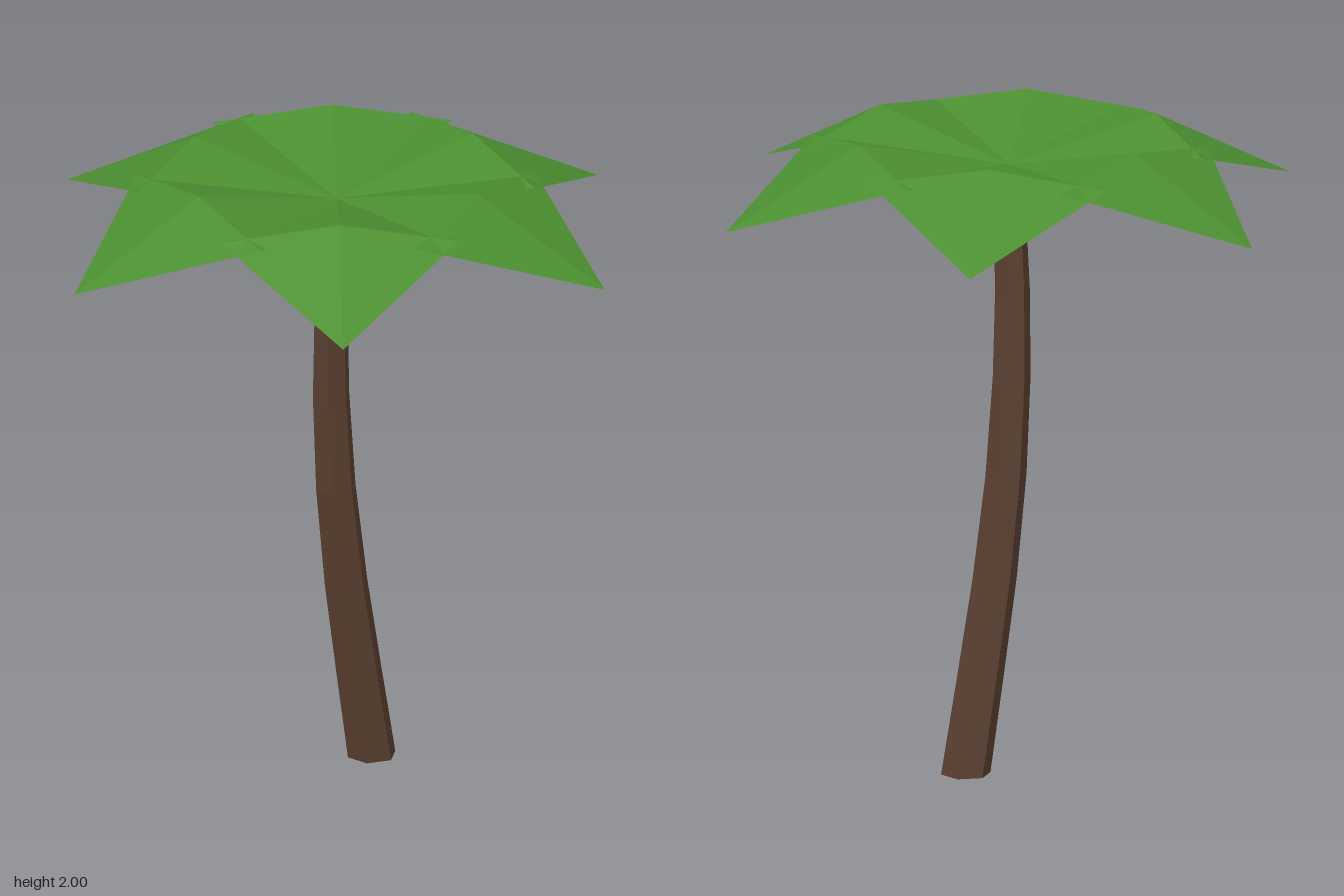
import * as THREE from 'three';

const leafGreen = new THREE.MeshStandardMaterial({ color: 0x4b8f30, flatShading: true });
leafGreen.name = 'leaf green';
const barkBrown = new THREE.MeshStandardMaterial({ color: 0x5a3f30, flatShading: true });
barkBrown.name = 'bark brown';

// Ring centres and radii up the trunk: [y, x, z, radius]
const RINGS = [
  [0, 0.178, -0.035, 0.077],
  [0.3, 0.125, -0.036, 0.073],
  [0.6, 0.073, -0.036, 0.069],
  [0.92, 0.03, -0.034, 0.064],
  [1.23, 0.005, -0.028, 0.059],
  [1.5, -0.005, -0.017, 0.054],
  [1.87, -0.002, 0.002, 0.049],
];

// Six-sided trunk, bent and tapered ring by ring
function createTrunk() {
  const segments = RINGS.length - 1;
  const geometry = new THREE.CylinderGeometry(1, 1, segments, 6, segments, false, THREE.MathUtils.degToRad(68));
  const p = geometry.attributes.position;
  for (let i = 0; i < p.count; i++) {
    const [y, cx, cz, r] = RINGS[Math.round(p.getY(i) + segments / 2)];
    p.setXYZ(i, cx + p.getX(i) * r, y, cz + p.getZ(i) * r);
  }
  geometry.computeVertexNormals();
  const trunk = new THREE.Mesh(geometry, barkBrown);
  trunk.name = 'trunk';
  return trunk;
}

// Leaf pointing along +x: rises to a folded ridge, droops to the tip, flat underneath
function createLeafGeometry() {
  const rootTop = [0, 1.89, 0];
  const rootBottom = [0, 1.84, 0];
  const ridge = [0.49, 2, 0];
  const sideA = [0.49, 1.945, 0.365];
  const sideB = [0.49, 1.945, -0.365];
  const tip = [0.935, 1.77, 0];
  const faces = [
    [rootTop, sideA, ridge], [rootTop, ridge, sideB],
    [ridge, sideA, tip], [ridge, tip, sideB],
    [rootBottom, sideB, sideA], [sideA, sideB, tip],
    [rootTop, rootBottom, sideA], [rootTop, sideB, rootBottom],
  ];
  const geometry = new THREE.BufferGeometry();
  geometry.setAttribute('position', new THREE.Float32BufferAttribute(faces.flat(2), 3));
  geometry.computeVertexNormals();
  return geometry;
}

export function createModel() {
  const model = new THREE.Group();
  model.name = 'palmTree';
  model.add(createTrunk());

  // Six leaves around the crown
  const crown = new THREE.Group();
  crown.name = 'crown';
  const leafGeometry = createLeafGeometry();
  for (let i = 0; i < 6; i++) {
    const leaf = new THREE.Mesh(leafGeometry, leafGreen);
    leaf.name = `leaf${i + 1}`;
    leaf.rotation.y = -THREE.MathUtils.degToRad(10.7 + i * 60);
    crown.add(leaf);
  }
  model.add(crown);
  return model;
}
